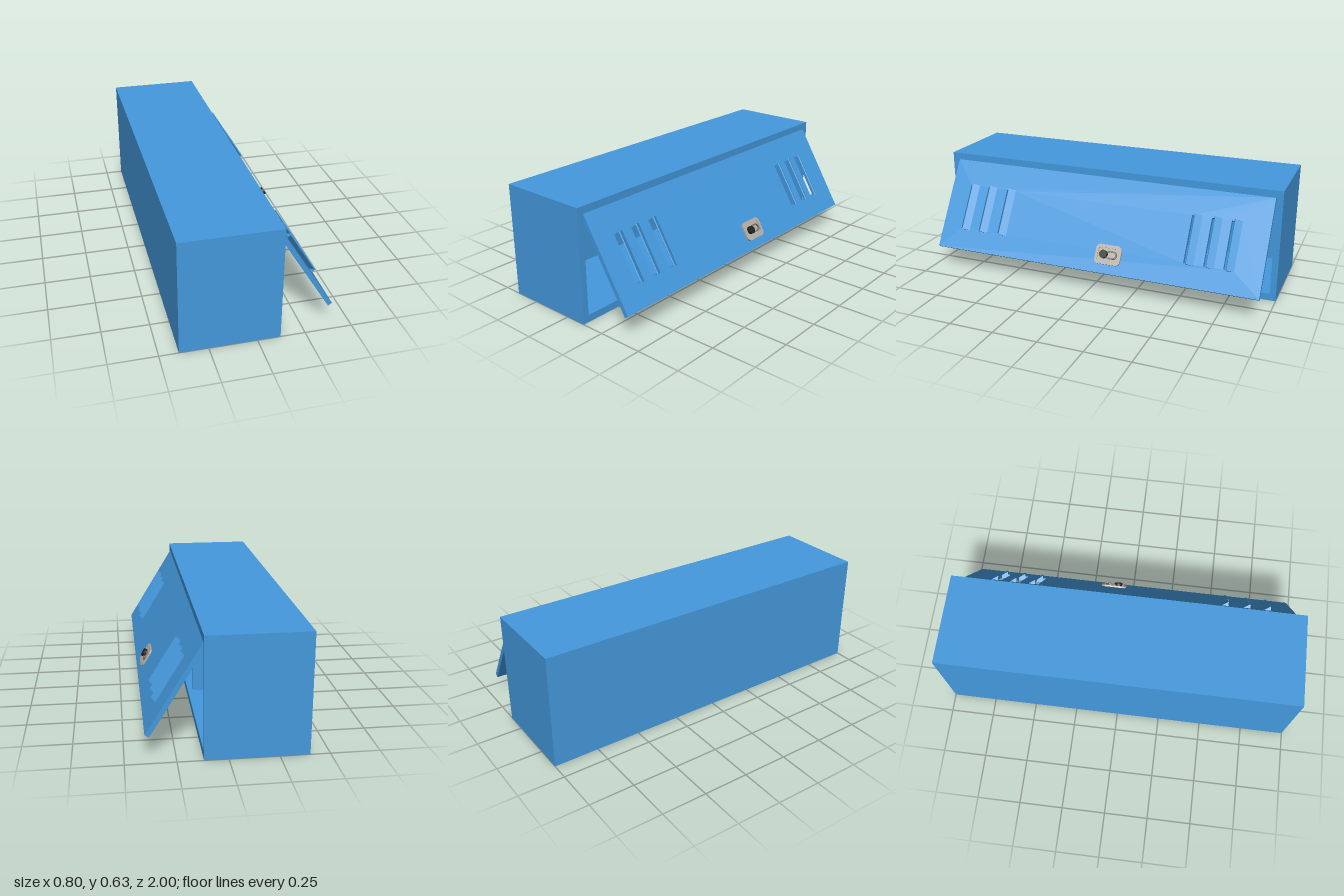
import * as THREE from 'three';

const paint = new THREE.MeshStandardMaterial({ color: 0x4499dd });
const steel = new THREE.MeshStandardMaterial({ color: 0xb4aea6 });
const darkSteel = new THREE.MeshStandardMaterial({ color: 0x77726c });
const black = new THREE.MeshStandardMaterial({ color: 0x222222 });

const mesh = (name, geometry, material = paint) => {
  const m = new THREE.Mesh(geometry, material);
  m.name = name;
  return m;
};

const extrude = (shape, depth) =>
  new THREE.ExtrudeGeometry(shape, { depth, bevelEnabled: false, curveSegments: 8 });

// Rectangle outline, centred on (cx, cy)
function rect(cx, cy, w, h, Type = THREE.Shape) {
  const p = new Type();
  p.moveTo(cx - w / 2, cy - h / 2);
  p.lineTo(cx + w / 2, cy - h / 2);
  p.lineTo(cx + w / 2, cy + h / 2);
  p.lineTo(cx - w / 2, cy + h / 2);
  p.closePath();
  return p;
}

// Rounded rectangle outline, centred on the origin
function rounded(w, h, r, Type = THREE.Shape) {
  const p = new Type(), x = w / 2 - r, y = h / 2 - r;
  p.absarc(x, y, r, 0, Math.PI / 2);
  p.absarc(-x, y, r, Math.PI / 2, Math.PI);
  p.absarc(-x, -y, r, Math.PI, Math.PI * 1.5);
  p.absarc(x, -y, r, Math.PI * 1.5, Math.PI * 2);
  p.closePath();
  return p;
}

// Open-fronted carcass with a back panel and a recessed divider
function makeCabinet() {
  const g = new THREE.Group();
  g.name = 'cabinet';
  const frame = rect(0, 0.315, 2, 0.63);
  frame.holes.push(rect(0, 0.315, 1.93, 0.55, THREE.Path));
  const walls = mesh('cabinetWalls', extrude(frame, 0.52));
  walls.rotation.y = Math.PI / 2;
  walls.position.x = -0.4;
  const back = mesh('backPanel', new THREE.BoxGeometry(0.035, 0.55, 1.93));
  back.position.set(-0.3825, 0.315, 0);
  const divider = mesh('divider', new THREE.BoxGeometry(0.455, 0.55, 0.036));
  divider.position.set(-0.1375, 0.315, -0.218);
  g.add(walls, back, divider);
  return g;
}

// Vent hood: a flap bent outward with a triangular cap at each end
function makeHood(length) {
  const g = new THREE.Group();
  g.name = 'ventHood';
  const poly = pts => new THREE.Shape(pts.map(p => new THREE.Vector2(...p)));
  const part = (name, pts, depth, y) => {
    const geo = extrude(poly(pts), depth);
    geo.translate(0, 0, -depth / 2);
    geo.rotateX(Math.PI / 2);
    const m = mesh(name, geo);
    m.position.y = y;
    g.add(m);
  };
  part('ventFlap', [[0.03, 0], [-0.006, 0.024], [-0.01, 0.019], [0.022, -0.003]], length, 0);
  for (const s of [-1, 1])
    part('ventCap', [[0.03, 0], [-0.006, 0.024], [-0.01, 0]], 0.006, s * (length / 2 - 0.003));
  return g;
}

// Latch plate with raised rim, lock cylinder and oval pull
function makeLatch() {
  const g = new THREE.Group();
  g.name = 'latch';
  const rim = rounded(0.15, 0.11, 0.025);
  rim.holes.push(rounded(0.122, 0.074, 0.014, THREE.Path));
  const oval = rounded(0.068, 0.046, 0.022);
  oval.holes.push(rounded(0.052, 0.03, 0.014, THREE.Path));
  const lock = mesh('lockCylinder', new THREE.CylinderGeometry(0.023, 0.023, 0.02, 24), black);
  lock.rotation.x = Math.PI / 2;
  lock.position.set(-0.025, 0, 0.012);
  const pull = mesh('ovalPull', extrude(oval, 0.012), darkSteel);
  pull.position.x = 0.018;
  g.add(
    mesh('latchRim', extrude(rim, 0.01), steel),
    mesh('latchPlate', extrude(rounded(0.126, 0.078, 0.014), 0.004), steel),
    lock, pull);
  return g;
}

// Slotted door, built flat: x along the cabinet, y up from its foot, z outward
function makeDoor() {
  const g = new THREE.Group();
  g.name = 'door';
  const height = 0.54, thick = 0.025, slotY = 0.2575, slotH = 0.275;
  const panel = rect(0, height / 2, 1.922, height);
  const vents = [-0.81, -0.692, -0.567, 0.562, 0.672, 0.78];
  for (const x of vents) {
    panel.holes.push(rect(x, slotY, 0.055, slotH - 0.012, THREE.Path));
    const hood = makeHood(slotH);
    hood.position.set(x, slotY, 0);
    g.add(hood);
  }
  const slab = mesh('doorPanel', extrude(panel, thick));
  slab.position.z = -thick;
  const latch = makeLatch();
  latch.position.set(0.11, 0.105, 0);
  g.add(slab, latch);
  // Swing open about the top edge
  const tilt = Math.atan2(0.524, 0.852);
  const s = Math.sin(tilt), c = Math.cos(tilt);
  g.quaternion.setFromRotationMatrix(new THREE.Matrix4().makeBasis(
    new THREE.Vector3(0, 0, -1), new THREE.Vector3(-s, c, 0), new THREE.Vector3(c, s, 0)));
  g.position.set(0.4, 0.13, 0);
  return g;
}

export function createModel() {
  const model = new THREE.Group();
  model.name = 'locker';
  model.add(makeCabinet(), makeDoor());
  return model;
}
